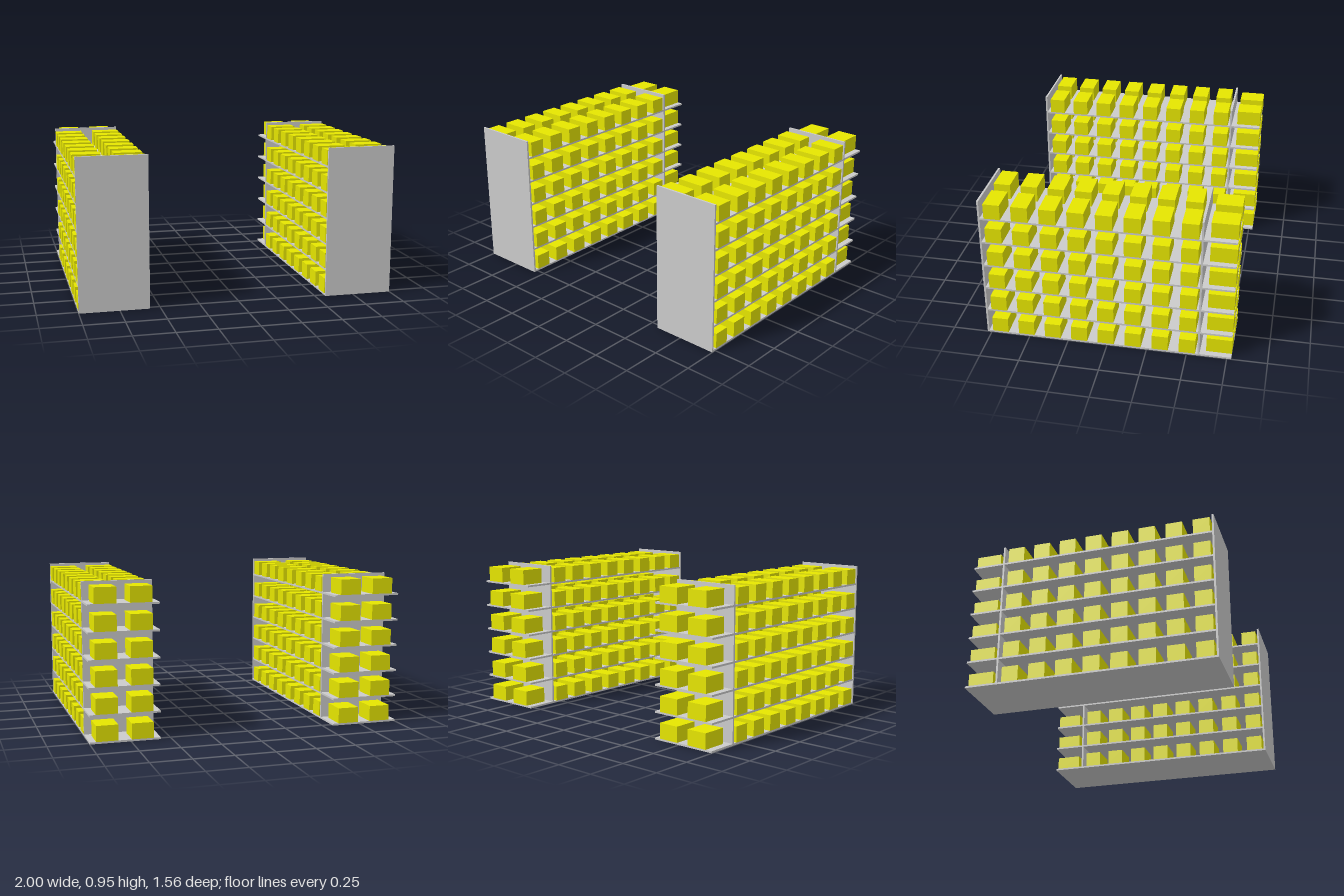
import * as THREE from 'three';

const grey = new THREE.MeshStandardMaterial({ color: 0xcccccc });
const yellow = new THREE.MeshStandardMaterial({ color: 0xe6e600 });

// Box given by its lower and upper limits on each axis
function block(name, material, [x0, x1], [y0, y1], [z0, z1]) {
  const mesh = new THREE.Mesh(new THREE.BoxGeometry(x1 - x0, y1 - y0, z1 - z0), material);
  mesh.position.set((x0 + x1) / 2, (y0 + y1) / 2, (z0 + z1) / 2);
  mesh.name = name;
  return mesh;
}

const HALF = 0.2175;   // half width of a rack
const END = 0.778;     // half length of a rack
const THICK = 0.012;   // shelf and panel thickness
const HEIGHT = 0.952;
const LEVELS = 6, LEVEL_STEP = 0.165;
const COLUMNS = 8, COLUMN_STEP = 0.1704;
const BOX_HEIGHT = 0.098;

function createRack() {
  const rack = new THREE.Group();
  const width = [-HALF, HALF];

  // upright panels: front end and rear divider
  rack.add(block('frontPanel', grey, width, [0, HEIGHT], [END - THICK, END]));
  rack.add(block('rearPanel', grey, width, [0, HEIGHT], [-0.581, -0.569]));

  for (let level = 0; level < LEVELS; level++) {
    const y = level * LEVEL_STEP;
    const boxY = [y + THICK, y + THICK + BOX_HEIGHT];
    rack.add(block('shelf', grey, width, [y, y + THICK], [-END, END]));

    // two rows of boxes along the long sides, slightly staggered
    for (let i = 0; i < COLUMNS; i++) {
      const zRight = 0.701 - i * COLUMN_STEP;
      const zLeft = 0.69 - i * COLUMN_STEP;
      rack.add(block('rightBox', yellow, [-HALF, -0.04], boxY, [zRight - 0.052, zRight + 0.052]));
      rack.add(block('leftBox', yellow, [0.04, HALF], boxY, [zLeft - 0.051, zLeft + 0.051]));
    }

    // pair of boxes on the rear end
    rack.add(block('rearRightBox', yellow, [-0.173, -0.038], boxY, [-END, -0.618]));
    rack.add(block('rearLeftBox', yellow, [0.044, 0.179], boxY, [-END, -0.618]));
  }
  return rack;
}

export function createModel() {
  const model = new THREE.Group();
  model.name = 'storageRacks';
  for (const side of [-1, 1]) {
    const rack = createRack();
    rack.name = side < 0 ? 'rightRack' : 'leftRack';
    rack.position.x = side * (1 - HALF);
    model.add(rack);
  }
  return model;
}
